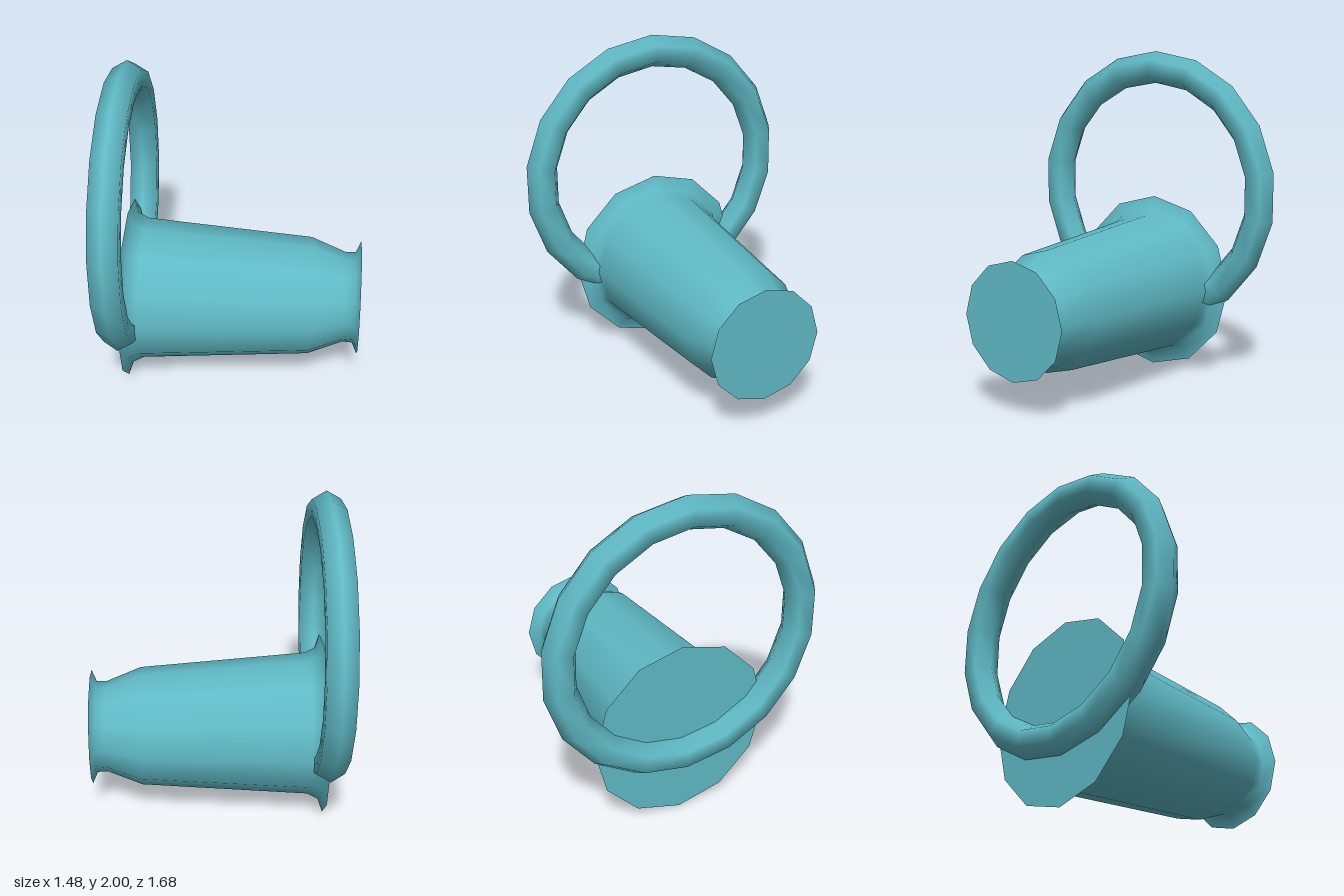
import * as THREE from 'three';

export function createModel() {
  const group = new THREE.Group();
  const teal = new THREE.MeshStandardMaterial({ color: 0x5fb9c5 });
  const sides = 12;
  const axisY = 0.545;

  function add(name, geometry, x, y) {
    const mesh = new THREE.Mesh(geometry, teal);
    mesh.name = name;
    mesh.position.set(x, y, 0);
    group.add(mesh);
  }

  // Tapered body lying along x, flared at both ends: [radius, x]
  const profile = [
    [0.545, -0.655], [0.465, -0.63], [0.432, -0.565],
    [0.358, 0.44], [0.275, 0.65], [0.278, 0.71], [0.345, 0.74],
  ].map(([r, x]) => new THREE.Vector2(r, x));
  const body = new THREE.LatheGeometry(profile, sides);
  body.rotateZ(-Math.PI / 2);
  add('body', body, 0, axisY);

  // Flat discs closing the two ends
  for (const [name, radius, x, turn] of [
    ['wideEndCap', 0.545, -0.655, -1],
    ['narrowEndCap', 0.345, 0.74, 1],
  ]) {
    const cap = new THREE.CircleGeometry(radius, sides);
    cap.rotateY(turn * Math.PI / 2);
    add(name, cap, x, axisY);
  }

  // Six-sided ring sunk into the wide end, with a corner at the very top
  const ring = new THREE.TorusGeometry(0.757, 0.098, 6, 18);
  ring.rotateZ(Math.PI / 2);
  ring.rotateY(Math.PI / 2);
  add('ring', ring, -0.66, 1.145);

  return group;
}
